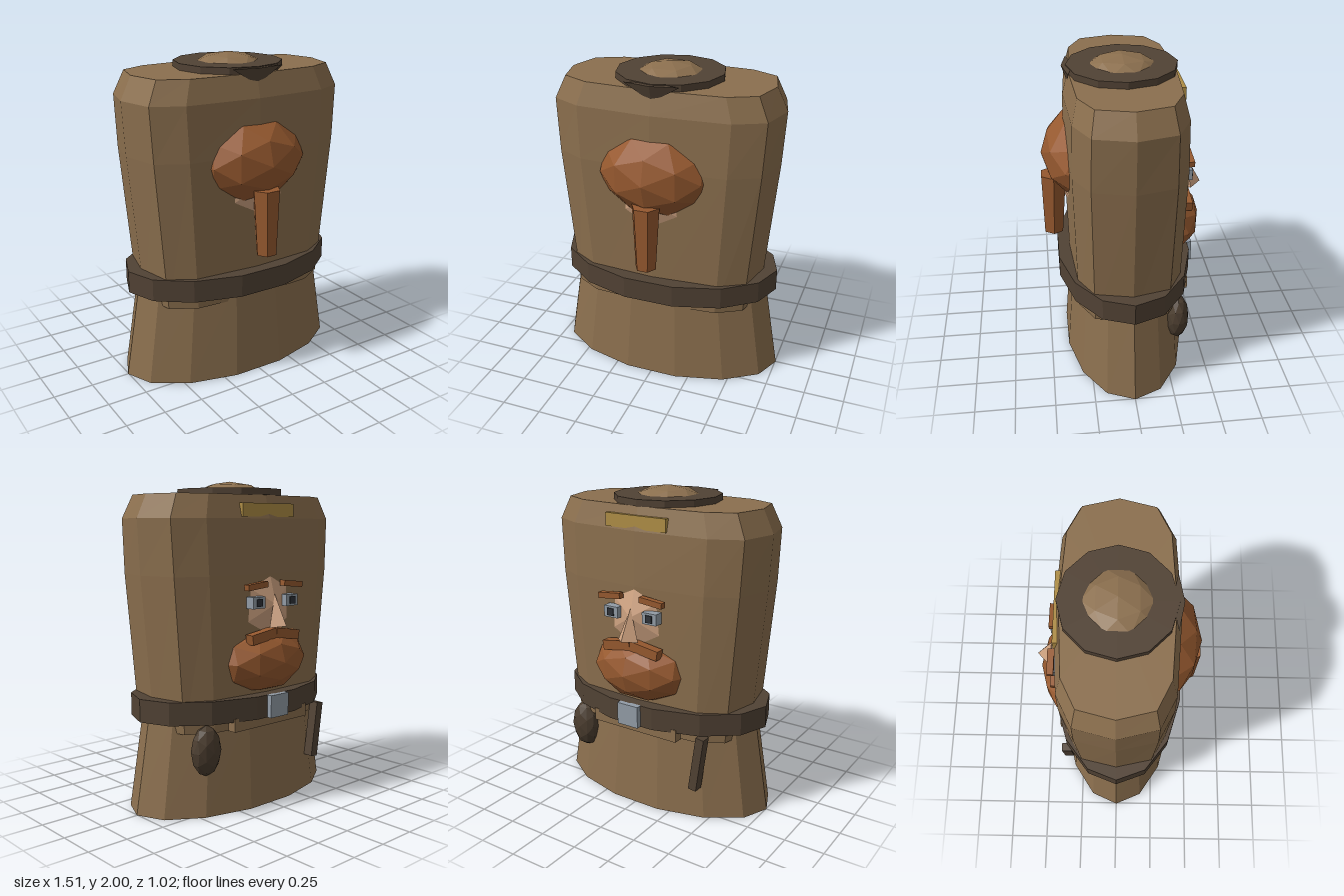
import * as THREE from 'three';

// One material per colour
const mat = (name, color, side = THREE.FrontSide) => {
  const m = new THREE.MeshStandardMaterial({ color, side });
  m.name = name;
  return m;
};

// Faceted normals
function facet(geo) {
  const g = geo.index ? geo.toNonIndexed() : geo;
  g.computeVertexNormals();
  return g;
}

// Loft through rings [y, rx, rz]; pow < 1 squares the ellipse off
function loft(rings, sides, pow, capTop, capBottom) {
  const pos = [];
  const curve = v => Math.sign(v) * Math.pow(Math.abs(v) < 1e-6 ? 0 : Math.abs(v), pow);
  const pt = ([y, rx, rz], i) => {
    const a = (i / sides) * Math.PI * 2;
    return [rx * curve(Math.cos(a)), y, rz * curve(Math.sin(a))];
  };
  const tri = (...p) => p.forEach(v => pos.push(...v));
  for (let i = 0; i < sides; i++) {
    for (let r = 0; r < rings.length - 1; r++) {
      const a = pt(rings[r], i), b = pt(rings[r], i + 1);
      const c = pt(rings[r + 1], i), d = pt(rings[r + 1], i + 1);
      tri(a, c, b);
      tri(c, d, b);
    }
    const top = rings[rings.length - 1], low = rings[0];
    if (capTop) tri([0, top[0], 0], pt(top, i + 1), pt(top, i));
    if (capBottom) tri([0, low[0], 0], pt(low, i), pt(low, i + 1));
  }
  const g = new THREE.BufferGeometry();
  g.setAttribute('position', new THREE.Float32BufferAttribute(pos, 3));
  return g;
}

export function createModel() {
  const model = new THREE.Group();
  model.name = 'beardedFigure';

  const cloth = mat('tunicBrown', 0x8b6f4e, THREE.DoubleSide);
  const leather = mat('darkLeather', 0x514234);
  const pouchLeather = mat('pouchLeather', 0x4b3d2f);
  const hair = mat('gingerHair', 0x96592f);
  const skin = mat('skin', 0xd0a482);
  const steel = mat('steel', 0x929ca6);
  const dark = mat('pupilDark', 0x2e3238);
  const brass = mat('brass', 0xae8d45);

  const add = (name, geo, material, p = [0, 0, 0], r = [0, 0, 0]) => {
    const m = new THREE.Mesh(facet(geo), material);
    m.name = name;
    m.position.set(...p);
    m.rotation.set(...r);
    model.add(m);
    return m;
  };
  const box = (name, size, material, p, r) =>
    add(name, new THREE.BoxGeometry(...size), material, p, r);
  const ball = (name, radii, material, p) =>
    add(name, new THREE.IcosahedronGeometry(1, 1).scale(...radii), material, p);

  // Torso, open skirt and belt
  add('torso', loft([[0.51, 0.615, 0.345], [1.44, 0.7, 0.367], [1.77, 0.718, 0.357],
    [1.91, 0.65, 0.32]], 12, 0.6, true, true), cloth);
  add('skirt', loft([[0, 0.755, 0.395], [0.62, 0.65, 0.345]], 14, 1, false, false), cloth);
  add('belt', loft([[0.57, 0.72, 0.435], [0.71, 0.72, 0.435]], 14, 1, true, true), leather);
  box('buckle', [0.15, 0.14, 0.04], steel, [0, 0.64, -0.437]);
  box('hemPanel', [0.62, 0.08, 0.06], cloth, [0, 0.55, -0.36]);

  // Things hung from the belt
  ball('pouch', [0.1, 0.155, 0.075], pouchLeather, [0.46, 0.41, -0.3]);
  box('sheath', [0.055, 0.36, 0.065], leather, [-0.445, 0.39, -0.34], [0, 0, 0.14]);

  // Collar with crown and front point
  add('collar', new THREE.CylinderGeometry(0.333, 0.333, 0.04, 12), leather, [0, 1.93, 0]);
  ball('crown', [0.24, 0.12, 0.24], cloth, [0, 1.88, 0]);
  add('collarPoint', new THREE.ConeGeometry(0.17, 0.1, 4).rotateX(Math.PI).scale(1, 1, 0.2),
    leather, [0, 1.895, 0.325]);
  box('neckClasp', [0.43, 0.08, 0.03], brass, [0, 1.82, -0.335]);

  // Head, hair and tail
  ball('head', [0.4, 0.4, 0.415], skin, [0, 1.26, 0]);
  ball('hair', [0.375, 0.28, 0.29], hair, [0, 1.39, 0.215]);
  add('hairTail', new THREE.CylinderGeometry(0.088, 0.066, 0.41, 6).rotateY(Math.PI / 6),
    hair, [0, 1.035, 0.44], [-0.03, 0, 0]);

  // Face, on the back of the torso
  ball('beard', [0.34, 0.21, 0.23], hair, [0, 0.91, -0.27]);
  add('nose', new THREE.ConeGeometry(0.072, 0.2, 4), skin, [0, 1.22, -0.42], [0.15, 0, 0]);
  for (const s of [1, -1]) {
    box('moustache', [0.2, 0.06, 0.06], hair, [s * 0.1, 1.07, -0.395], [0, 0, -s * 0.15]);
    box('brow', [0.16, 0.036, 0.04], hair, [s * 0.15, 1.375, -0.4], [0, 0, -s * 0.1]);
    box('eye', [0.1, 0.07, 0.06], steel, [s * 0.14, 1.275, -0.387]);
    box('pupil', [0.045, 0.045, 0.008], dark, [s * 0.14, 1.275, -0.42]);
  }

  return model;
}
